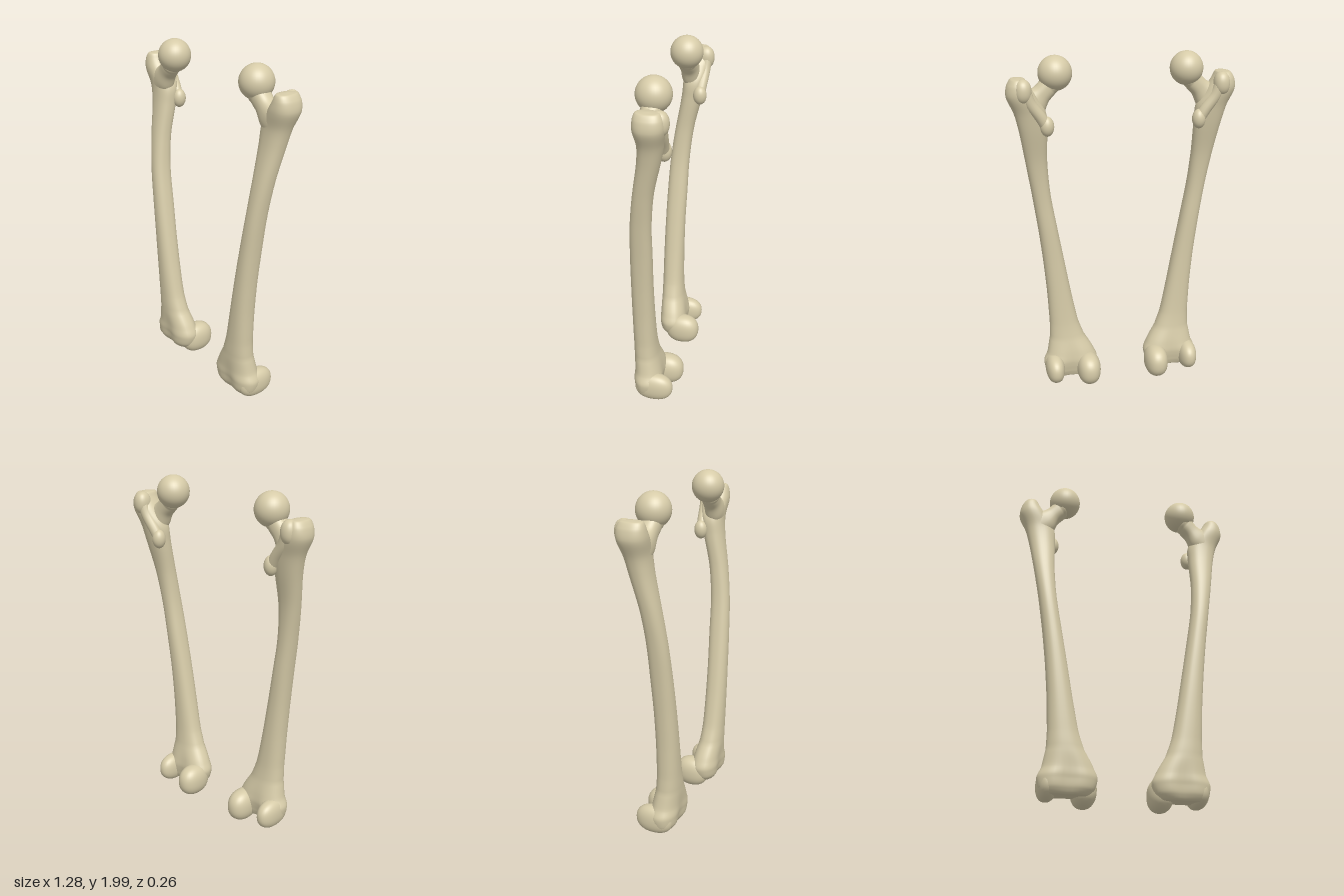
import * as THREE from 'three';
import { mergeVertices } from 'three/addons/utils/BufferGeometryUtils.js';

const bone = new THREE.MeshStandardMaterial({ color: 0xd6cba8, roughness: 0.8 });

// Smooth loft through horizontal rings: [y, xMin, xMax, zBack, zFront, groove]
function loft(rows, steps, around = 40, power = 2.3) {
  const centres = new THREE.CatmullRomCurve3(rows.map(([y, a, b, c, d]) => new THREE.Vector3((a + b) / 2, y, (c + d) / 2)));
  const radii = new THREE.CatmullRomCurve3(rows.map(([, a, b, c, d, g = 0]) => new THREE.Vector3((b - a) / 2, (d - c) / 2, g)));
  const positions = [], index = [];
  const round = (v) => Math.sign(v) * Math.abs(v) ** (2 / power);
  for (let i = 0; i <= steps; i++) {
    const c = centres.getPoint(i / steps), r = radii.getPoint(i / steps);
    for (let j = 0; j < around; j++) {
      const a = (j / around) * Math.PI * 2;
      const x = round(Math.cos(a));
      const dent = 1 - r.z * Math.exp(-((x / 0.35) ** 2));
      positions.push(c.x + r.x * x, c.y, c.z + r.y * round(Math.sin(a)) * dent);
      if (i === steps) continue;
      const p = i * around + j, q = i * around + ((j + 1) % around);
      index.push(p, p + around, q, q, p + around, q + around);
    }
  }
  const geometry = new THREE.BufferGeometry();
  geometry.setAttribute('position', new THREE.Float32BufferAttribute(positions, 3));
  geometry.setIndex(index);
  geometry.computeVertexNormals();
  return geometry;
}

// Rounded knob: a sphere, squared off slightly when power is above 2
function knob(centre, radii, power = 2) {
  let geometry = new THREE.SphereGeometry(1, 36, 24);
  geometry.deleteAttribute('uv');
  geometry.deleteAttribute('normal');
  geometry = mergeVertices(geometry);
  const pos = geometry.attributes.position, v = new THREE.Vector3();
  for (let i = 0; i < pos.count; i++) {
    v.fromBufferAttribute(pos, i);
    const n = Math.abs(v.x) ** power + Math.abs(v.y) ** power + Math.abs(v.z) ** power;
    v.multiplyScalar(n ** (-1 / power));
    pos.setXYZ(i, v.x, v.y, v.z);
  }
  geometry.scale(...radii).translate(...centre);
  geometry.computeVertexNormals();
  return geometry;
}

// One thigh bone, side = 1 for left (+x) and -1 for its mirror image
function thighBone(side) {
  const group = new THREE.Group();
  group.name = side > 0 ? 'leftThighBone' : 'rightThighBone';
  const add = (name, geometry) => {
    if (side < 0) {
      geometry.scale(-1, 1, 1);
      geometry.setIndex(Array.from(geometry.index.array).reverse());
    }
    const mesh = new THREE.Mesh(geometry, bone);
    mesh.name = name;
    group.add(mesh);
  };

  // Shaft, from the grooved knee end up to the greater trochanter
  add('shaft', loft([
    [0.055, 0.32, 0.32, 0.03, 0.03],
    [0.055, 0.20, 0.44, -0.02, 0.09, 0.2],
    [0.09, 0.165, 0.465, -0.04, 0.122, 0.22],
    [0.14, 0.15, 0.474, -0.05, 0.13, 0.2],
    [0.20, 0.168, 0.452, -0.04, 0.127, 0.1],
    [0.30, 0.225, 0.432, -0.015, 0.125],
    [0.40, 0.26, 0.43, -0.005, 0.125],
    [0.60, 0.30, 0.44, 0, 0.125],
    [0.80, 0.335, 0.457, 0, 0.122],
    [1.00, 0.37, 0.48, -0.005, 0.116],
    [1.20, 0.403, 0.508, -0.01, 0.105],
    [1.40, 0.42, 0.54, -0.03, 0.08],
    [1.60, 0.42, 0.575, -0.075, 0.047],
    [1.70, 0.425, 0.60, -0.095, 0.04],
    [1.79, 0.475, 0.638, -0.115, 0.05],
    [1.85, 0.515, 0.632, -0.11, 0.045],
    [1.885, 0.535, 0.61, -0.09, 0.03],
    [1.89, 0.572, 0.572, -0.03, -0.03],
  ], 102));

  // Neck, lofted upright and then tilted inwards towards the head
  add('neck', loft([
    [-0.02, -0.09, 0.09, -0.075, 0.04],
    [0.04, -0.085, 0.07, -0.065, 0.045],
    [0.11, -0.055, 0.053, -0.06, 0.045],
    [0.16, -0.05, 0.06, -0.06, 0.05],
    [0.21, -0.035, 0.075, -0.06, 0.05],
  ], 24).rotateZ(0.85).translate(0.52, 1.73, 0));

  add('head', knob([0.368, 1.905, -0.008], [0.093, 0.095, 0.095]));

  // Back of the hip end: knob, ridge and lesser trochanter
  add('greaterTrochanterBack', knob([0.55, 1.825, -0.083], [0.045, 0.065, 0.05], 2.2));
  const ridge = [[0.545, 1.84, -0.092], [0.515, 1.76, -0.085], [0.46, 1.68, -0.077], [0.425, 1.62, -0.07]];
  add('trochanterRidge', new THREE.TubeGeometry(
    new THREE.CatmullRomCurve3(ridge.map((p) => new THREE.Vector3(...p))), 24, 0.032, 16));
  add('lesserTrochanter', knob([0.427, 1.63, -0.075], [0.038, 0.055, 0.04]));

  // Knee condyles
  add('innerCondyle', knob([0.212, 0.105, -0.03], [0.07, 0.095, 0.105], 2.3));
  add('outerCondyle', knob([0.415, 0.118, -0.003], [0.056, 0.085, 0.112], 2.3));
  return group;
}

export function createModel() {
  const model = new THREE.Group();
  model.name = 'thighBones';
  model.add(thighBone(1), thighBone(-1));
  return model;
}
